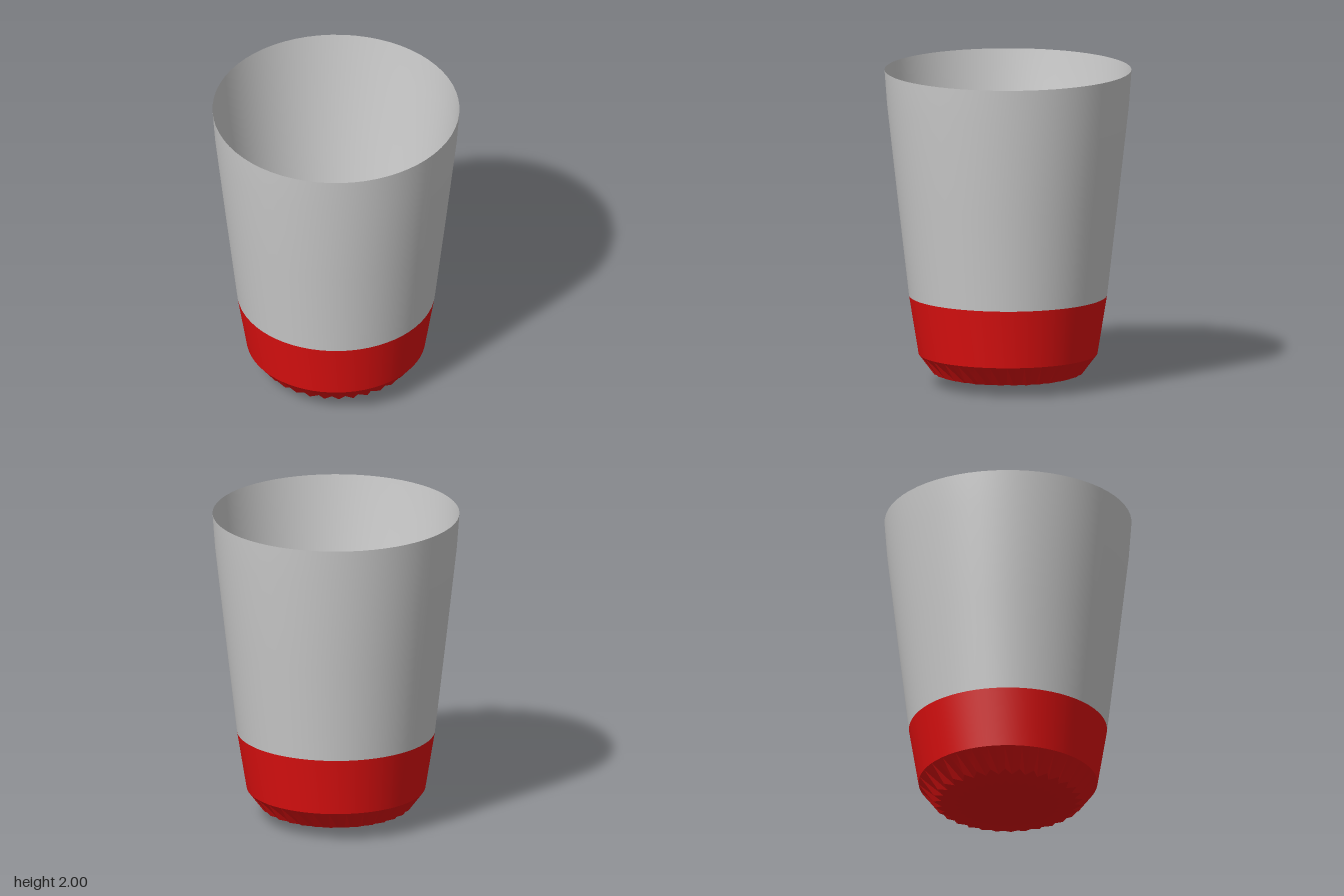
import * as THREE from 'three';
import { toCreasedNormals } from 'three/addons/utils/BufferGeometryUtils.js';

const FLUTES = 32;
const SEGMENTS = FLUTES * 2;

// Revolves a profile of [radius, y]; an optional third and fourth value give
// the radius and y used at every second vertex, which makes the flutes.
function revolve(name, profile, color) {
  const points = profile.map(([r, y]) => new THREE.Vector2(r, y));
  const lathe = new THREE.LatheGeometry(points, SEGMENTS);
  const pos = lathe.attributes.position;
  for (let i = 1; i < SEGMENTS; i += 2) {
    profile.forEach(([r, , valleyR, valleyY], j) => {
      if (valleyR === undefined) return;
      const k = i * profile.length + j;
      const s = valleyR / r;
      pos.setXYZ(k, pos.getX(k) * s, valleyY, pos.getZ(k) * s);
    });
  }
  const mesh = new THREE.Mesh(
    toCreasedNormals(lathe, 0.26),
    new THREE.MeshStandardMaterial({ color, side: THREE.DoubleSide })
  );
  mesh.name = name;
  return mesh;
}

export function createModel() {
  const cup = new THREE.Group();
  cup.name = 'cup';

  // Tapering wall: up the outside, thin rim, down the inside
  cup.add(revolve('wall', [
    [0.62, 0.57], [0.69, 1.18], [0.757, 1.78], [0.773, 2],
    [0.75, 1.78], [0.67, 1.18], [0.588, 0.57],
  ], 0xcccccc));

  // Base outside: shallow cone, fluted chamfer, plain band
  cup.add(revolve('baseOutside', [
    [0, 0], [0.47, 0.08, 0.42, 0.065], [0.56, 0.2], [0.62, 0.57],
  ], 0xe01010));

  // Base inside: the same shape, smaller by the wall thickness
  cup.add(revolve('baseInside', [
    [0.588, 0.57], [0.534, 0.215], [0.445, 0.11, 0.4, 0.095], [0, 0.03],
  ], 0xe01010));

  return cup;
}
